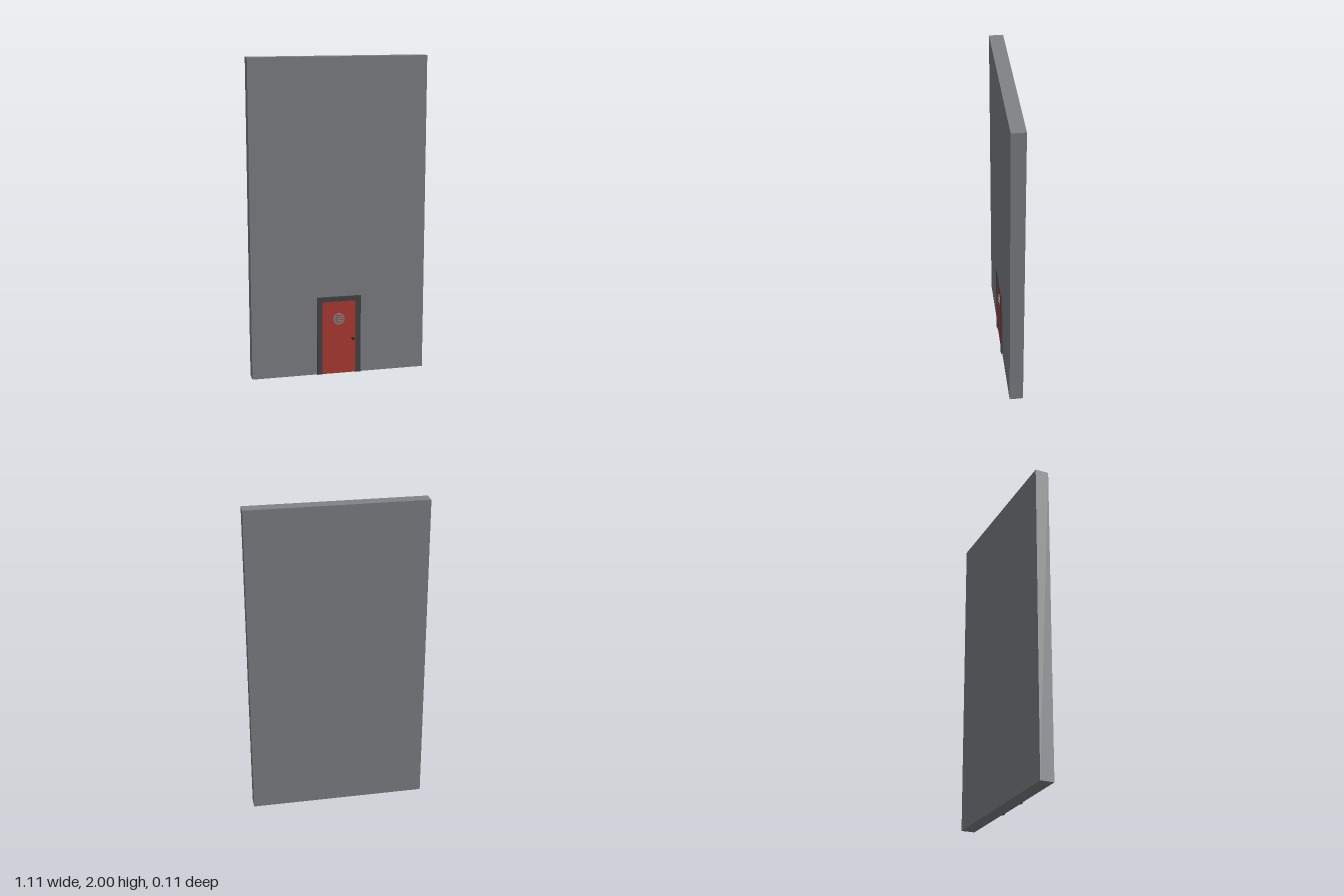
import * as THREE from 'three';

const material = (name, color) => {
  const m = new THREE.MeshStandardMaterial({ color });
  m.name = name;
  return m;
};

export function createModel() {
  const wallGrey = material('wall grey', 0x808387);
  const doorRed = material('door red', 0xb53c35);
  const frameGrey = material('frame dark grey', 0x454647);
  const knobBlack = material('knob black', 0x2a2a2a);
  const metal = material('window metal', 0x858a8e);

  const model = new THREE.Group();
  model.name = 'wallWithDoor';
  const add = (parent, name, geometry, mat, x, y, z) => {
    const mesh = new THREE.Mesh(geometry, mat);
    mesh.name = name;
    mesh.position.set(x, y, z);
    parent.add(mesh);
    return mesh;
  };

  // Wall slab, whose front face lies at z = 0.033
  const front = 0.033;
  add(model, 'wall', new THREE.BoxGeometry(1.11, 2, 0.086), wallGrey, 0, 1, front - 0.043);

  // Door frame, one open-bottomed arch
  const arch = new THREE.Shape();
  [[-0.141, 0], [-0.108, 0], [-0.108, 0.476], [0.108, 0.476],
    [0.108, 0], [0.141, 0], [0.141, 0.507], [-0.141, 0.507]]
    .forEach(([x, y], i) => (i ? arch.lineTo(x, y) : arch.moveTo(x, y)));
  add(model, 'doorFrame', new THREE.ExtrudeGeometry(arch, { depth: 0.009, bevelEnabled: false }),
    frameGrey, 0, 0, front);

  // Door panel, set back inside the frame
  add(model, 'door', new THREE.BoxGeometry(0.216, 0.476, 0.003), doorRed, 0, 0.238, front + 0.0015);

  // Round grille: rim and crossing bars
  const grille = new THREE.Group();
  grille.name = 'roundGrille';
  grille.position.set(0, 0.36, front + 0.003);
  model.add(grille);
  const rim = new THREE.Shape().absarc(0, 0, 0.037, 0, Math.PI * 2);
  rim.holes.push(new THREE.Path().absarc(0, 0, 0.028, 0, Math.PI * 2, true));
  add(grille, 'grilleRim', new THREE.ExtrudeGeometry(rim,
    { depth: 0.004, bevelEnabled: false, curveSegments: 24 }), metal, 0, 0, 0);
  for (const offset of [-0.013, 0.013]) {
    const length = 2 * Math.sqrt(0.03 ** 2 - offset ** 2);
    add(grille, 'grilleBar', new THREE.BoxGeometry(length, 0.006, 0.003), metal, 0, offset, 0.0015);
  }
  add(grille, 'grilleCrossBar', new THREE.BoxGeometry(0.06, 0.006, 0.003), metal, 0, 0, 0.0015);
  add(grille, 'grilleUpright', new THREE.BoxGeometry(0.006, 0.06, 0.0034), metal, 0, 0, 0.0017);

  // Door knob on a short stem
  const profile = [[0, 0], [0.005, 0], [0.005, 0.007], [0.0095, 0.01], [0.0095, 0.014], [0.006, 0.017], [0, 0.017]];
  const knob = add(model, 'doorKnob', new THREE.LatheGeometry(
    profile.map(([r, h]) => new THREE.Vector2(r, h)), 20), knobBlack, 0.09, 0.227, front + 0.003);
  knob.rotation.x = Math.PI / 2;

  return model;
}
